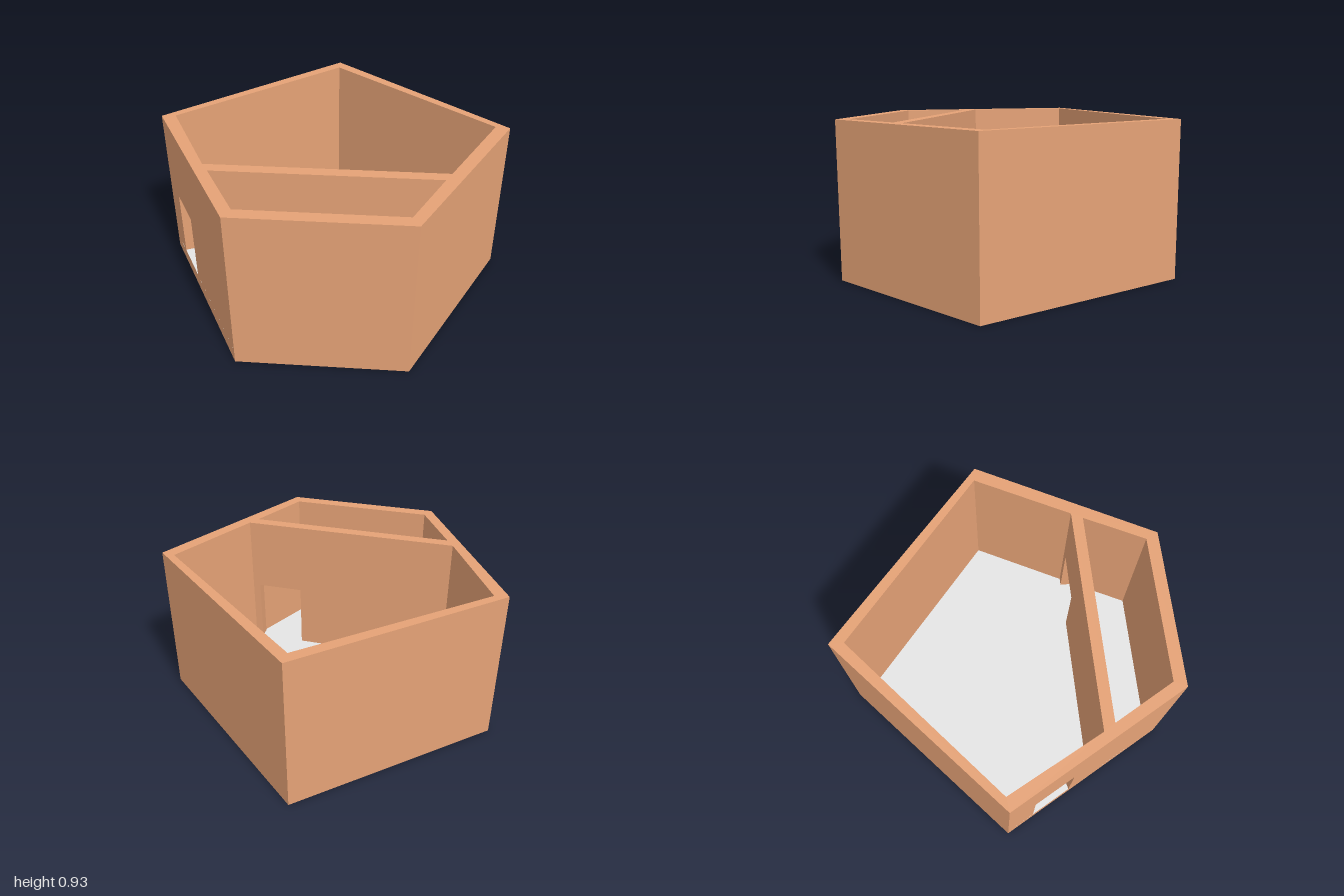
import * as THREE from 'three';

const FLOOR = 0.08, LINTEL = 0.483, TOP = 0.93;
const BACK = 0.463, FRONT = 0.527; // z of the partition's two faces

// Plan points are [x, z]
const outer = [[-1, -0.06], [-0.02, -0.935], [1, -0.06], [0.475, 0.935], [-0.445, 0.935]];
const mainRoom = [[-0.92, -0.07], [-0.02, -0.85], [0.92, -0.07], [0.645, BACK], [-0.64, BACK]];
const frontRoom = [[-0.6, FRONT], [0.61, FRONT], [0.44, 0.865], [-0.41, 0.865]];

// Wall plan at door height: one outline cut by the entrance and the partition doorway
const doorwayPlan = [
  [-0.91, 0.1], ...outer, [-0.78, 0.334],
  [-0.715, 0.318], [-0.64, BACK], [0.32, BACK], [0.32, FRONT],
  [-0.6, FRONT], [-0.41, 0.865], [0.44, 0.865], [0.61, FRONT],
  [0.6, FRONT], [0.6, BACK], [0.645, BACK],
  [0.92, -0.07], [-0.02, -0.85], [-0.92, -0.07], [-0.845, 0.072],
];

const toPoints = (plan) => plan.map(([x, z]) => new THREE.Vector2(x, -z));

// Holes run against the outline so that the room faces point inwards
function planShape(plan, holes = []) {
  const shape = new THREE.Shape(toPoints(plan));
  shape.holes = holes.map((hole) => new THREE.Path(toPoints(hole).reverse()));
  return shape;
}

// Raise a plan shape from one height to another
function raise(shape, from, to) {
  const geometry = new THREE.ExtrudeGeometry(shape, { depth: to - from, bevelEnabled: false });
  return geometry.rotateX(-Math.PI / 2).translate(0, from, 0);
}

export function createModel() {
  const group = new THREE.Group();
  const clay = new THREE.MeshStandardMaterial({ color: 0xe5a276 });
  clay.name = 'clay brown';
  const grey = new THREE.MeshStandardMaterial({ color: 0xe5e5e5 });
  grey.name = 'floor grey';

  const add = (name, geometry, material) => {
    const mesh = new THREE.Mesh(geometry, material);
    mesh.name = name;
    group.add(mesh);
  };

  // Base slab and the floor surface, which also forms the door sills
  add('foundation', raise(planShape(outer), 0, FLOOR), clay);
  const floor = new THREE.ShapeGeometry(planShape(outer));
  add('floor', floor.rotateX(-Math.PI / 2).translate(0, FLOOR + 0.001, 0), grey);

  // Walls with both doorways, then the unbroken walls above them
  add('doorwayWalls', raise(planShape(doorwayPlan), FLOOR, LINTEL), clay);
  add('upperWalls', raise(planShape(outer, [mainRoom, frontRoom]), LINTEL, TOP), clay);

  return group;
}
